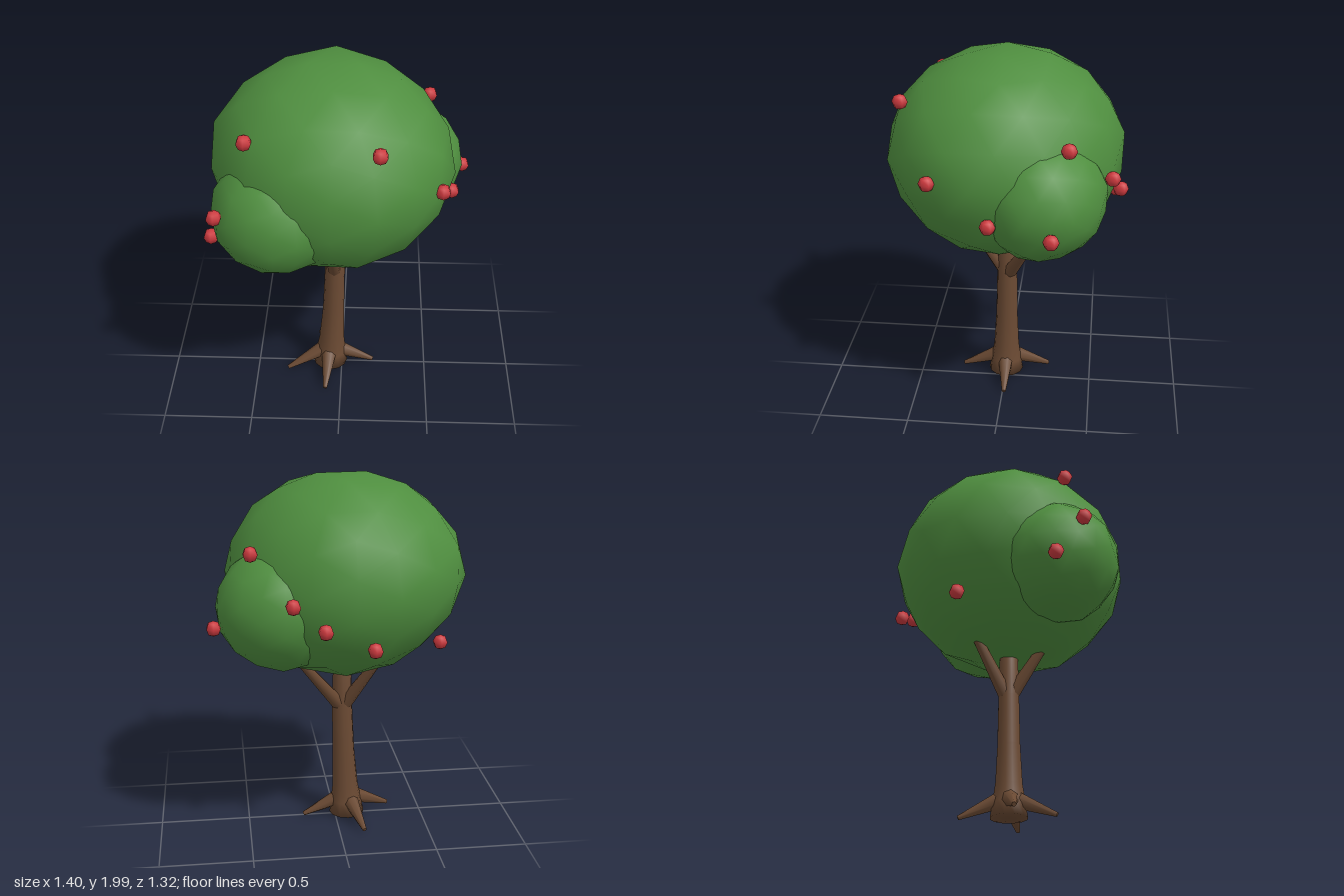
import * as THREE from 'three';
import { mergeVertices } from 'three/addons/utils/BufferGeometryUtils.js';

const material = (name, color) => {
  const m = new THREE.MeshStandardMaterial({ color });
  m.name = name;
  return m;
};

export function createModel() {
  const bark = material('bark brown', 0x6b4a33);
  const leaf = material('leaf green', 0x4f8e3f);
  const red = material('fruit red', 0xce3a3f);
  const tree = new THREE.Group();
  tree.name = 'fruitTree';

  const add = (name, geometry, mat) => {
    const mesh = new THREE.Mesh(geometry, mat);
    mesh.name = name;
    tree.add(mesh);
    return mesh;
  };

  // Tapered limb between two points
  const limb = (name, from, to, r0, r1) => {
    const a = new THREE.Vector3(...from), b = new THREE.Vector3(...to);
    const dir = b.clone().sub(a);
    const mesh = add(name, new THREE.CylinderGeometry(r1, r0, dir.length(), 7), bark);
    mesh.position.copy(a).add(b).multiplyScalar(0.5);
    mesh.quaternion.setFromUnitVectors(new THREE.Vector3(0, 1, 0), dir.normalize());
  };

  // Slightly uneven leaf mass; bumps are [direction, strength], negative for hollows
  const foliage = (name, center, radii, bumps, wobble) => {
    let g = new THREE.IcosahedronGeometry(1, 2);
    g.deleteAttribute('uv');
    g.deleteAttribute('normal');
    g = mergeVertices(g, 1e-4);
    const p = g.attributes.position, v = new THREE.Vector3();
    for (let i = 0; i < p.count; i++) {
      v.fromBufferAttribute(p, i).normalize();
      let s = 1 + wobble * Math.sin(5 * v.x + 2) * Math.sin(4 * v.y + 1) * Math.sin(5 * v.z);
      for (const [d, k] of bumps) {
        s += k * Math.exp(-8 * (1 - v.dot(new THREE.Vector3(...d).normalize())));
      }
      p.setXYZ(i, v.x * radii[0] * s, v.y * radii[1] * s, v.z * radii[2] * s);
    }
    g.computeVertexNormals();
    add(name, g, leaf).position.set(...center);
  };

  // Trunk: flared profile with a slight lean
  const profile = [[0, 0.02], [0.1, 0.02], [0.088, 0.1], [0.073, 0.2], [0.062, 0.42], [0.057, 0.7], [0.049, 1.0], [0, 1.0]]
    .map(([r, y]) => new THREE.Vector2(r, y));
  const trunk = new THREE.LatheGeometry(profile, 12);
  const tp = trunk.attributes.position;
  for (let i = 0; i < tp.count; i++) {
    const lean = Math.min(1, tp.getY(i) / 0.6);
    tp.setX(i, tp.getX(i) - 0.07 + 0.03 * lean);
    tp.setZ(i, tp.getZ(i) - 0.008 * lean);
  }
  add('trunk', trunk, bark);

  // Roots spreading from the base
  for (const [x, z] of [[0.255, -0.01], [-0.02, 0.255], [-0.25, 0.085], [-0.07, -0.25]]) {
    limb('root', [-0.07 + x * 0.2, 0.11, z * 0.2], [-0.07 + x, 0.018, z], 0.045, 0.012);
  }

  // Branches reaching into the leaves
  for (const [x, z] of [[-0.055, 0.21], [0.2, -0.16], [-0.225, -0.15]]) {
    limb('branch', [-0.04 + (x + 0.04) * 0.1, 0.71, z * 0.1 - 0.01], [x, 1.0, z], 0.04, 0.024);
  }

  // Crown and its two side clumps
  foliage('mainCrown', [-0.035, 1.455, 0], [0.64, 0.546, 0.64], [
    [[-0.95, 0.25, -0.22], 0.06],
    [[0, 0.92, -0.38], 0.03],
    [[0.2, -0.8, 0.3], 0.035],
    [[-0.6, 0.7, 0.35], 0.03],
    [[0.75, 0.3, -0.6], -0.07],
  ], 0.015);
  foliage('frontClump', [-0.32, 1.325, 0.31], [0.345, 0.32, 0.35], [], 0.03);
  foliage('backClump', [0.31, 1.33, -0.22], [0.345, 0.33, 0.335], [], 0.03);

  // Fruit dotted over the leaves
  const fruitShape = new THREE.SphereGeometry(0.042, 6, 4).rotateY(Math.PI / 2);
  const fruits = [
    [-0.46, 1.77, 0.4], [0.2, 1.78, 0.52], [0.52, 1.47, 0.34], [0.59, 1.28, 0.03],
    [0.665, 1.25, -0.29], [0.47, 1.65, -0.36], [-0.615, 1.41, 0.52], [-0.66, 1.2, 0.38],
    [-0.56, 1.09, -0.16], [0.275, 1.43, -0.58], [0.12, 1.31, -0.625], [-0.13, 1.2, -0.605],
  ];
  for (const f of fruits) add('fruit', fruitShape, red).position.set(...f);

  return tree;
}
